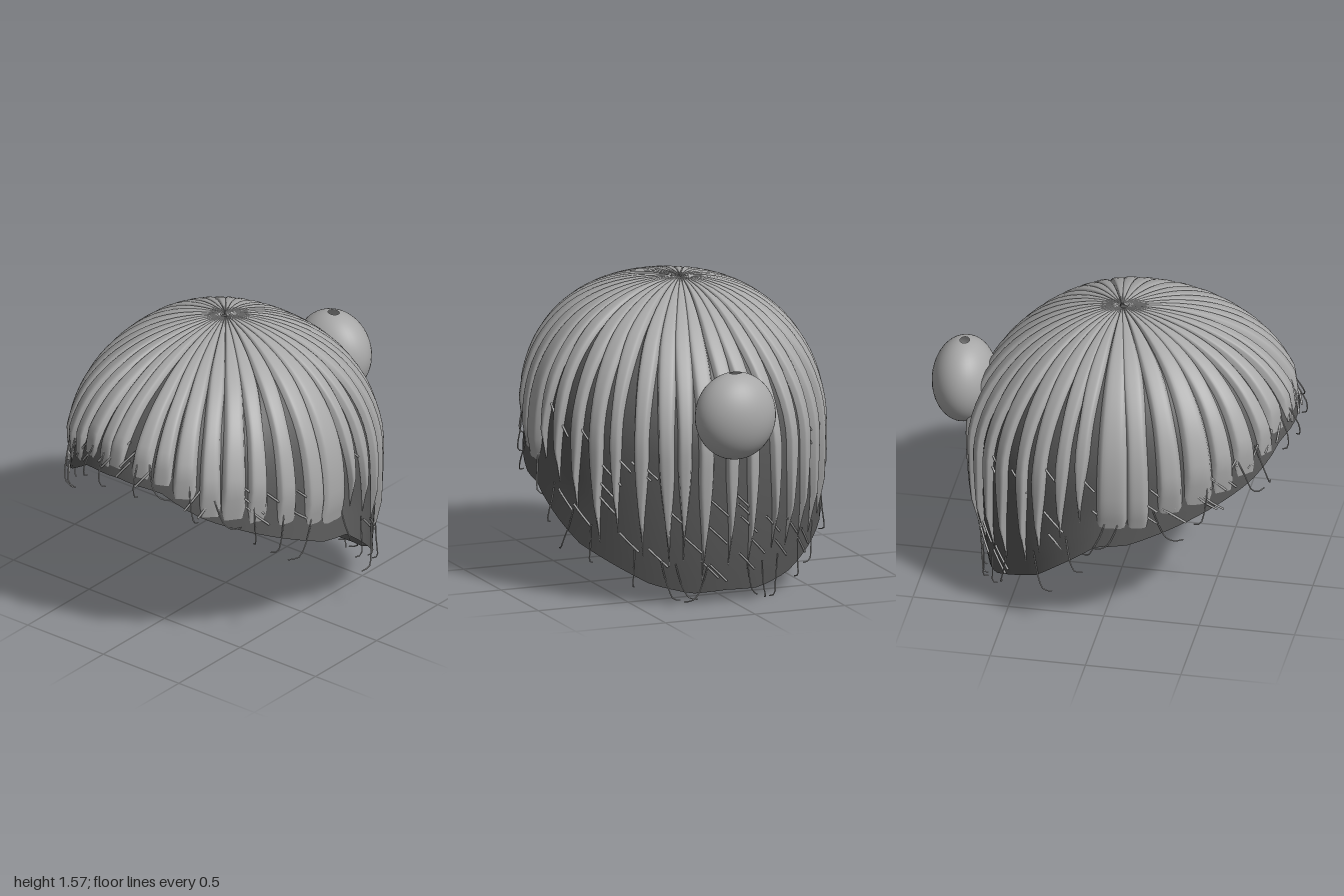
import * as THREE from 'three';

const MID = 0.83, RISE = 0.75, CX = 0.03;

// Rim height by angle from the front (0) to the back (PI)
const RIM = [[0, 1.03], [0.33, 1.01], [0.63, 0.87], [1.17, 0.68], [1.4, 0.6], [1.57, 0.58], [2.0, 0.32], [2.55, 0.13], [2.86, 0.08], [3.15, 0.09]];

function rimHeight(a) {
  const d = Math.acos(Math.cos(a));
  let i = 1;
  while (i < RIM.length - 1 && RIM[i][0] < d) i++;
  const [a0, y0] = RIM[i - 1], [a1, y1] = RIM[i];
  return y0 + (y1 - y0) * (d - a0) / (a1 - a0);
}

// Rounder in front and at the sides, more sloping at the back
const power = a => 2.05 + 0.25 * Math.cos(a) + 0.15 * Math.sin(a) ** 2;

// Position along a meridian for a given height
function stepAt(a, y) {
  if (y < MID) return Math.PI / 2 + (MID - y) / RISE;
  return Math.acos(Math.min(1, ((y - MID) / RISE) ** (power(a) / 2)));
}

// Point on the head surface at angle a and meridian step s, lifted outwards
function headPoint(a, s, lift = 0) {
  const e = 2 / power(a), c = Math.cos(a);
  const rz = c > 0 ? 0.935 : 0.775, rx = 0.74;
  const below = Math.max(0, s - Math.PI / 2);
  const q = Math.min(s, Math.PI / 2);
  const r = Math.sin(q) ** e * (1 - 0.11 * below * below * Math.max(0, -c));
  const y = MID + RISE * Math.max(0, Math.cos(q)) ** e - below * RISE;
  const x = r * rx * Math.sin(a), z = r * rz * c;
  const n = new THREE.Vector3(x / rx ** 2, Math.max(0, y - MID) / RISE ** 2, z / rz ** 2).normalize();
  return new THREE.Vector3(x + CX * Math.min(1, r * 1.5), y, z).addScaledVector(n, lift);
}

// Surface from a grid of points; rows run down, columns run around
function gridGeometry(rows, cols, pointAt, wrap) {
  const pos = [], idx = [], w = wrap ? cols : cols + 1;
  for (let i = 0; i <= rows; i++)
    for (let j = 0; j < w; j++) pos.push(...pointAt(i / rows, j / cols).toArray());
  for (let i = 0; i < rows; i++)
    for (let j = 0; j < cols; j++) {
      const k = (j + 1) % w, p = i * w + j, q = i * w + k;
      idx.push(p, p + w, q, q, p + w, q + w);
    }
  const g = new THREE.BufferGeometry();
  g.setAttribute('position', new THREE.Float32BufferAttribute(pos, 3));
  g.setIndex(idx);
  g.computeVertexNormals();
  return g;
}

export function createModel() {
  let seed = 11;
  const rand = (lo, hi) => {
    seed = (seed * 16807) % 2147483647;
    return lo + (hi - lo) * seed / 2147483647;
  };
  const scalpGrey = new THREE.MeshStandardMaterial({ color: 0x595959, side: THREE.DoubleSide });
  scalpGrey.name = 'dark grey';
  const hairGrey = new THREE.MeshStandardMaterial({ color: 0xa8a8a8, side: THREE.DoubleSide });
  hairGrey.name = 'light grey';

  const model = new THREE.Group();
  model.name = 'hair';
  const add = (parent, name, geo, mat) => {
    const m = new THREE.Mesh(geo, mat);
    m.name = name;
    parent.add(m);
    return m;
  };

  // Dark cap under the locks, flaring slightly at the side rim
  add(model, 'scalpCap', gridGeometry(24, 72, (t, u) => {
    const a = u * Math.PI * 2;
    const flare = 0.03 * Math.sin(a) ** 8 * Math.max(0, t - 0.85) / 0.15;
    return headPoint(a, 0.005 + t * (stepAt(a, rimHeight(a)) - 0.005), flare);
  }, true), scalpGrey);

  // Locks radiating from the crown: blunt in front, pointed behind
  const locks = new THREE.Group();
  locks.name = 'locks';
  model.add(locks);
  const COUNT = 38;
  for (let k = 0; k < COUNT; k++) {
    const a0 = (k + rand(-0.12, 0.12)) / COUNT * Math.PI * 2;
    const front = Math.cos(a0) > -0.05;
    const end = stepAt(a0, rimHeight(a0) + (front ? rand(0.015, 0.09) : rand(0.06, 0.2)));
    const half = Math.PI / COUNT * 1.12;
    const low = front ? rand(0.65, 1) : rand(0.46, 0.6);
    const sway = rand(-0.03, 0.03);
    add(locks, 'lock', gridGeometry(24, 10, (t, u) => {
      const v = u * 2 - 1;
      let width = 1 + (low - 1) * THREE.MathUtils.smoothstep(t, 0.25, 0.65);
      if (front) width *= t > 0.93 ? Math.sqrt(1 - ((t - 0.93) / 0.08) ** 2) * 0.5 + 0.5 : 1;
      else width *= 1 - THREE.MathUtils.smoothstep(t, 0.68, 1) * 0.97;
      const tip = Math.min(1, (1 - t) * 8);
      const h = (0.016 + 0.018 * Math.min(1, t * 1.5)) * tip;
      const lift = 0.003 + h * Math.sqrt(Math.max(0, 1 - v ** 4));
      return headPoint(a0 + sway * t * t + v * half * width, 0.02 + t * (end - 0.02), lift);
    }, false), hairGrey);
  }

  // Bun at the back, with a small opening through its top and bottom
  const bun = add(model, 'bun', new THREE.SphereGeometry(1, 40, 28, 0, Math.PI * 2, 0.15, Math.PI - 0.3), hairGrey);
  bun.scale.set(0.215, 0.229, 0.168);
  bun.position.set(0.04, 1.043, -0.832);

  // Loose hairs lying across the gaps, and curls hanging from the rim
  const wisps = new THREE.Group();
  wisps.name = 'looseHairs';
  model.add(wisps);
  const wisp = (pts, r) =>
    add(wisps, 'looseHair', new THREE.TubeGeometry(new THREE.CatmullRomCurve3(pts), 10, r, 10), hairGrey);
  for (let k = 0; k < 70; k++) {
    const a = rand(0, Math.PI * 2);
    const drift = Math.cos(a) > 0.75 ? -0.1 : 0.14;
    const end = stepAt(a, rimHeight(a));
    const s = end * (Math.cos(a) > 0 ? rand(0.8, 0.92) : rand(0.6, 0.92));
    wisp([0, 0.5, 1].map(t => headPoint(a + drift * t, Math.min(s + 0.13 * t, end), 0.009)), 0.0055);
  }
  for (let k = 0; k < 30; k++) {
    const a = (k + rand(0, 0.8)) / 30 * Math.PI * 2;
    const end = stepAt(a, rimHeight(a));
    const drop = rand(0.02, 0.065), turn = rand(-0.1, 0.1);
    const pts = [-0.2, -0.08, 0].map((d, i) => headPoint(a + turn * i * 0.4, end + d, 0.015 + 0.01 * i));
    const last = headPoint(a + turn * 1.3, end, 0.035);
    last.y = Math.max(0.008, last.y - drop);
    pts.push(last, headPoint(a + turn * 2, end, 0.01).setY(Math.max(0.004, last.y - 0.012)));
    wisp(pts, 0.0035);
  }
  return model;
}
